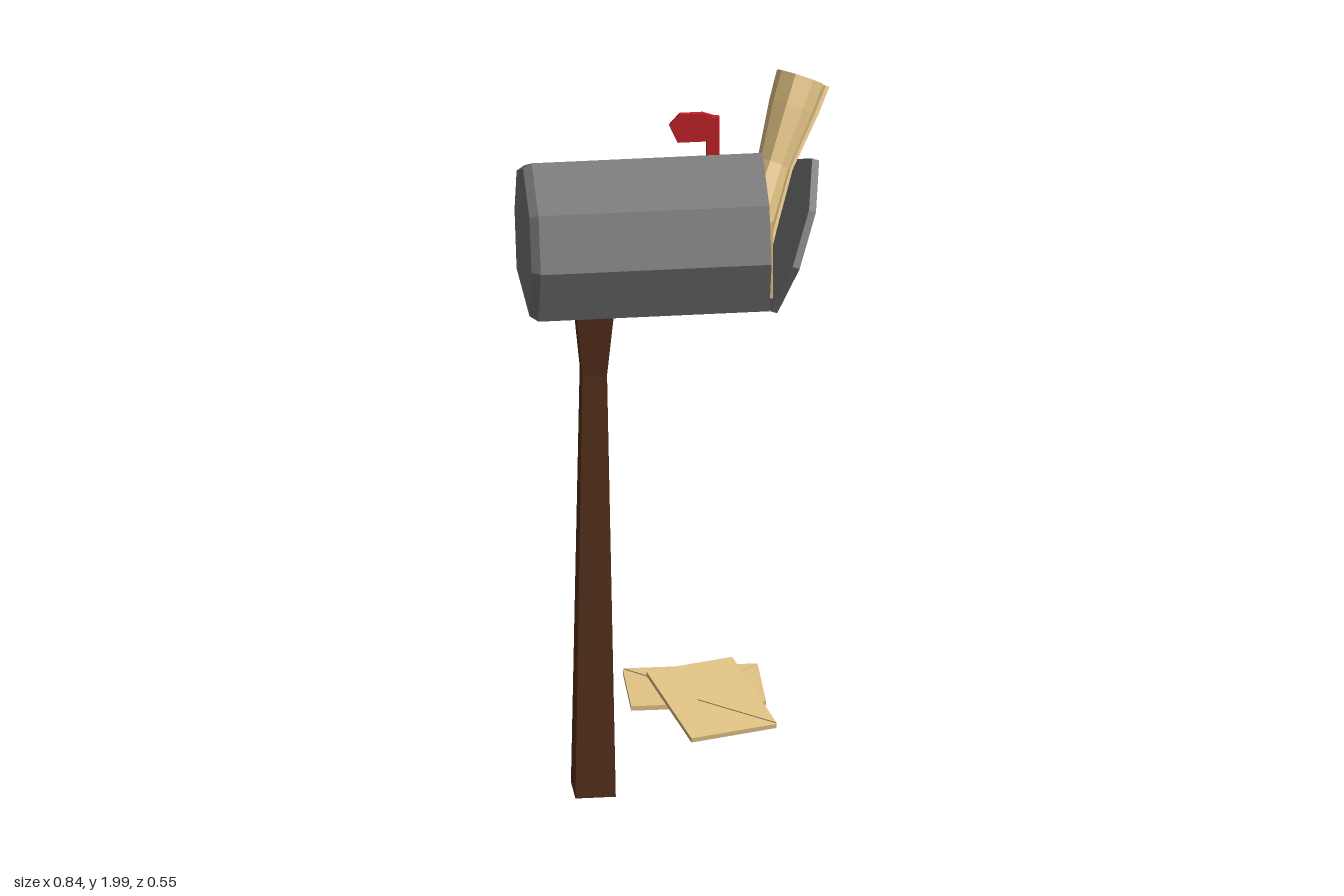
import * as THREE from 'three';

const paint = (color) => new THREE.MeshStandardMaterial({ color, flatShading: true });
const steel = paint(0x777777), wood = paint(0x55301a), red = paint(0xc42228), paper = paint(0xe3c486);

function mesh(name, geometry, material) {
  const m = new THREE.Mesh(geometry, material);
  m.name = name;
  return m;
}

// Skin over successive rings (counter-clockwise about the travel direction), closed at both ends.
function loft(rings) {
  const pos = [], n = rings[0].length;
  const quad = (a, b, c, d) => [a, b, c, a, c, d].forEach((p) => pos.push(...p));
  const cap = (r) => {
    for (let i = 0; i + 1 <= n - 2 - i; i++) {
      if (i + 1 === n - 2 - i) [r[i], r[i + 1], r[n - 1 - i]].forEach((p) => pos.push(...p));
      else quad(r[i], r[i + 1], r[n - 2 - i], r[n - 1 - i]);
    }
  };
  for (let k = 0; k < rings.length - 1; k++)
    for (let i = 0; i < n; i++) {
      const j = (i + 1) % n;
      quad(rings[k][i], rings[k][j], rings[k + 1][j], rings[k + 1][i]);
    }
  cap([...rings[0]].reverse());
  cap(rings[rings.length - 1]);
  const g = new THREE.BufferGeometry();
  g.setAttribute('position', new THREE.Float32BufferAttribute(pos, 3));
  g.computeVertexNormals();
  return g;
}

// Flat outline in the xy plane, extruded along z.
function plate(points, depth) {
  const shape = new THREE.Shape(points.map(([x, y]) => new THREE.Vector2(x, y)));
  return new THREE.ExtrudeGeometry(shape, { depth, bevelEnabled: false });
}

// Seven-sided box section as (z, y), y measured from the floor of the box.
const SECTION = [[0.167, 0], [0.222, 0.16], [0.167, 0.307], [0, 0.387], [-0.167, 0.307], [-0.222, 0.16], [-0.167, 0]];
const sectionRing = (x, s = 1) => SECTION.map(([z, y]) => [x, 0.175 + (y - 0.175) * s, z * s]);

function makeEnvelope(name) {
  const g = new THREE.Group();
  g.name = name;
  g.add(mesh('envelopeBody', new THREE.BoxGeometry(0.36, 0.013, 0.24), paper));
  // Triangular flap lying on the top face
  const flap = mesh('envelopeFlap', plate([[-0.178, 0.12], [0, -0.04], [0.178, 0.12]], 0.003), paper);
  flap.rotation.x = -Math.PI / 2;
  flap.position.y = 0.0065;
  g.add(flap);
  return g;
}

// Rolled paper: a thick spiral section, pinched in the middle and flared at the ends.
function makeScroll() {
  const steps = 18, outer = [], inner = [];
  for (let k = 0; k <= steps; k++) {
    const a = (k / 8) * Math.PI * 2 + 0.3;
    const r = 1 - 0.042 * k + 0.03 * Math.sin(k * 2.7);
    outer.push([r * Math.cos(a), -r * Math.sin(a)]);
    inner.unshift([(r - 0.14) * Math.cos(a), -(r - 0.14) * Math.sin(a)]);
  }
  const loop = [...outer, ...inner];
  const rings = [[0, 0.077], [0.13, 0.066], [0.29, 0.056], [0.45, 0.078], [0.53, 0.084]]
    .map(([y, s]) => loop.map(([x, z]) => [x * s, y, z * s]));
  const m = mesh('rolledPaper', loft(rings), paper);
  m.position.set(0.157, 1.507, 0.063);
  m.quaternion.setFromUnitVectors(new THREE.Vector3(0, 1, 0), new THREE.Vector3(0.42, 1, -0.47).normalize());
  return m;
}

export function createModel() {
  const model = new THREE.Group();
  model.name = 'mailbox';

  // Square post, waisted below its flared head
  const post = mesh('post', loft([[0, 0.054], [1.22, 0.033], [1.44, 0.053], [1.45, 0.053]].map(([y, h]) =>
    [[h, h], [h, -h], [-h, -h], [-h, h]].map(([x, z]) => [x, y, z]))), wood);
  post.position.set(-0.237, 0, 0.053);
  model.add(post);

  // Hollow box: inner back, inner front, outer front, outer back, chamfered back
  const box = mesh('box', loft([sectionRing(-0.4, 0.95), sectionRing(0.215, 0.95), sectionRing(0.215),
    sectionRing(-0.402), sectionRing(-0.425, 0.93)]), steel);
  box.position.set(0, 1.445, 0.053);
  model.add(box);

  // Door hinged at the floor, leaning open
  const door = mesh('door', loft([sectionRing(0.02), sectionRing(0)]), steel);
  door.position.set(0.217, 1.445, 0.053);
  door.rotation.z = -0.345;
  model.add(door);

  // Signal flag on the back wall
  const flag = new THREE.Group();
  flag.name = 'flag';
  const hub = mesh('flagHub', plate([[0.09, 1.64], [0.075, 1.62], [0.078, 1.585], [0.107, 1.568],
    [0.136, 1.585], [0.14, 1.62], [0.125, 1.64]], 0.024), red);
  hub.position.z = -0.18;
  const arm = mesh('flagArm', new THREE.BoxGeometry(0.034, 0.235, 0.018), red);
  arm.position.set(0.107, 1.7275, -0.167);
  const blade = mesh('flagBlade', plate([[0.122, 1.775], [0.122, 1.842], [0.08, 1.857], [0.018, 1.857],
    [-0.01, 1.825], [0.012, 1.775]], 0.012), red);
  blade.position.z = -0.174;
  flag.add(hub, arm, blade);
  model.add(flag);

  // Mail in the box
  model.add(makeScroll());
  const letter = mesh('standingLetter', new THREE.BoxGeometry(0.36, 0.225, 0.02), paper);
  letter.position.set(0.047, 1.583, 0.185);
  model.add(letter);

  // Two envelopes below, one resting on the other
  const lower = makeEnvelope('lowerEnvelope');
  lower.position.set(0.056, 0.19, -0.153);
  lower.rotation.y = -0.018;
  const upper = makeEnvelope('upperEnvelope');
  upper.position.set(0.088, 0.208, -0.03);
  upper.rotation.set(0.125, -1.34, 0);
  model.add(lower, upper);

  return model;
}
